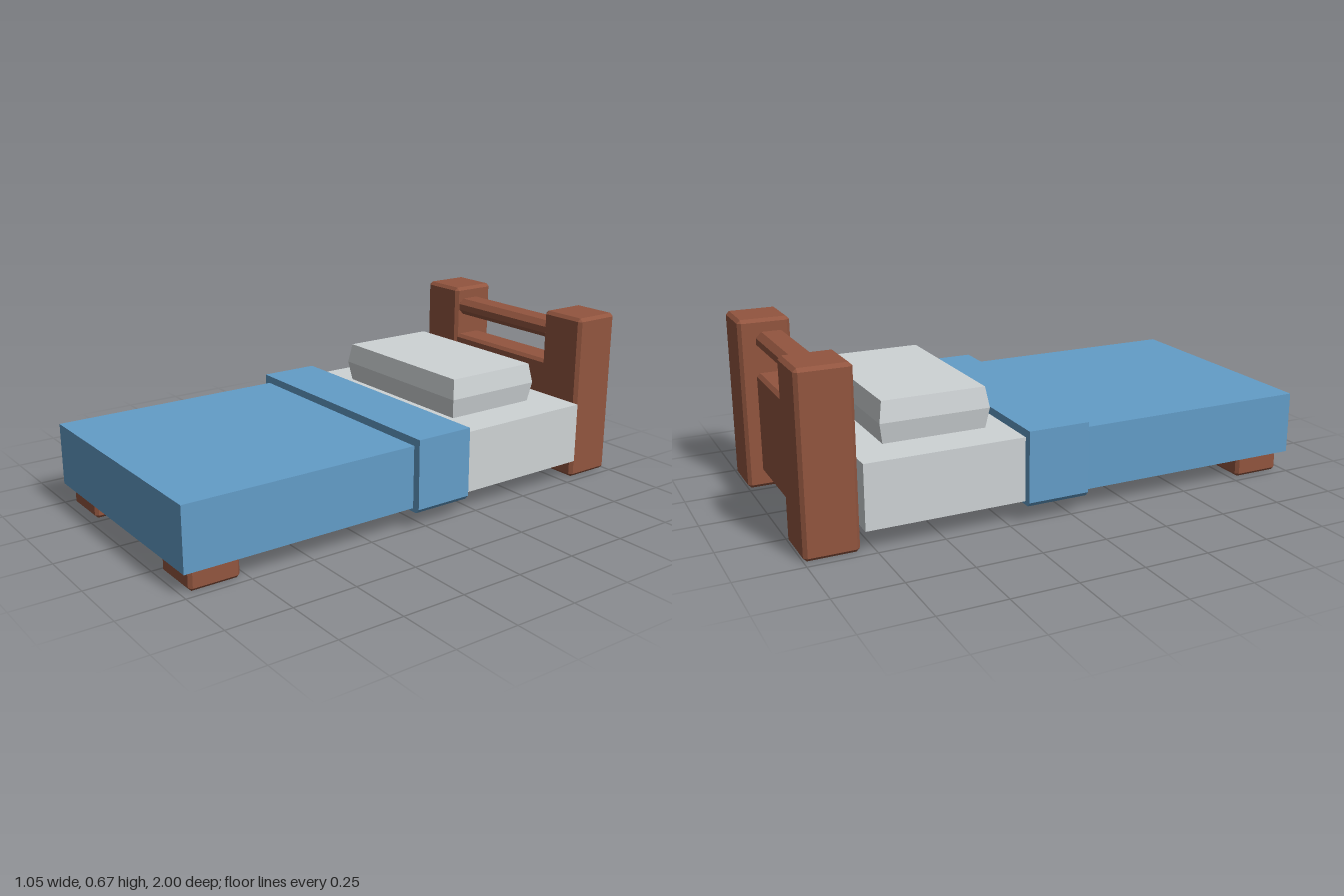
import * as THREE from 'three';
import { ConvexGeometry } from 'three/addons/geometries/ConvexGeometry.js';

// Box with chamfered edges, given by its min and max corners
function chamferBox(min, max, c) {
  const points = [];
  const half = min.map((v, i) => (max[i] - v) / 2);
  const mid = min.map((v, i) => (max[i] + v) / 2);
  for (const sx of [-1, 1]) for (const sy of [-1, 1]) for (const sz of [-1, 1]) {
    const s = [sx, sy, sz];
    for (let full = 0; full < 3; full++) {
      points.push(new THREE.Vector3(
        ...s.map((sign, i) => mid[i] + sign * (half[i] - (i === full ? 0 : c)))));
    }
  }
  return new ConvexGeometry(points);
}

// Box whose side walls bulge outward at mid height
function bulgedBox(w, h, d, bulge) {
  const geo = new THREE.BoxGeometry(w, h, d, 1, 2, 1).toNonIndexed();
  const p = geo.attributes.position;
  for (let i = 0; i < p.count; i++) {
    if (Math.abs(p.getY(i)) < 1e-4) {
      p.setX(i, p.getX(i) + Math.sign(p.getX(i)) * bulge);
      p.setZ(i, p.getZ(i) + Math.sign(p.getZ(i)) * bulge);
    }
  }
  geo.computeVertexNormals();
  return geo;
}

export function createModel() {
  const wood = new THREE.MeshStandardMaterial({ name: 'wood', color: 0x92553f });
  const blue = new THREE.MeshStandardMaterial({ name: 'blanketBlue', color: 0x639dc8 });
  const linen = new THREE.MeshStandardMaterial({ name: 'linen', color: 0xced3d5 });

  const bed = new THREE.Group();
  bed.name = 'bed';
  const add = (name, geo, mat) => {
    const mesh = new THREE.Mesh(geo, mat);
    mesh.name = name;
    bed.add(mesh);
    return mesh;
  };

  // Headboard posts and front feet, mirrored
  for (const [side, x0, x1] of [['left', 0.27, 0.47], ['right', -0.47, -0.27]]) {
    add(side + 'Post', chamferBox([x0, 0, -1], [x1, 0.67, -0.8], 0.013), wood);
    add(side + 'Foot', chamferBox([x0, 0, 0.775], [x1, 0.1, 0.97], 0.012), wood);
  }

  // Headboard panel and the rail above it
  add('headboardPanel', chamferBox([-0.29, 0.06, -0.94], [0.29, 0.46, -0.81], 0.013), wood);
  add('headboardRail', chamferBox([-0.29, 0.55, -0.935], [0.29, 0.62, -0.815], 0.022), wood);

  // Mattress head end, and the blanket over the rest
  const head = add('mattress', new THREE.BoxGeometry(0.985, 0.243, 0.69), linen);
  head.position.set(0, 0.2035, -0.445);
  const blanket = add('blanket', new THREE.BoxGeometry(0.985, 0.243, 1.0), blue);
  blanket.position.set(0, 0.2035, 0.5);

  // Folded blanket edge, wrapped round the mattress with clipped lower corners
  const band = new THREE.Shape([
    [-0.523, 0.355], [-0.525, 0.085], [-0.51, 0.068],
    [0.51, 0.068], [0.525, 0.085], [0.523, 0.355],
  ].map(([x, y]) => new THREE.Vector2(x, y)));
  const fold = add('blanketFold',
    new THREE.ExtrudeGeometry(band, { depth: 0.24, bevelEnabled: false }), blue);
  fold.position.z = -0.185;

  // Pillow
  const pillow = add('pillow', bulgedBox(0.665, 0.156, 0.395, 0.013), linen);
  pillow.position.set(0, 0.403, -0.465);

  return bed;
}
